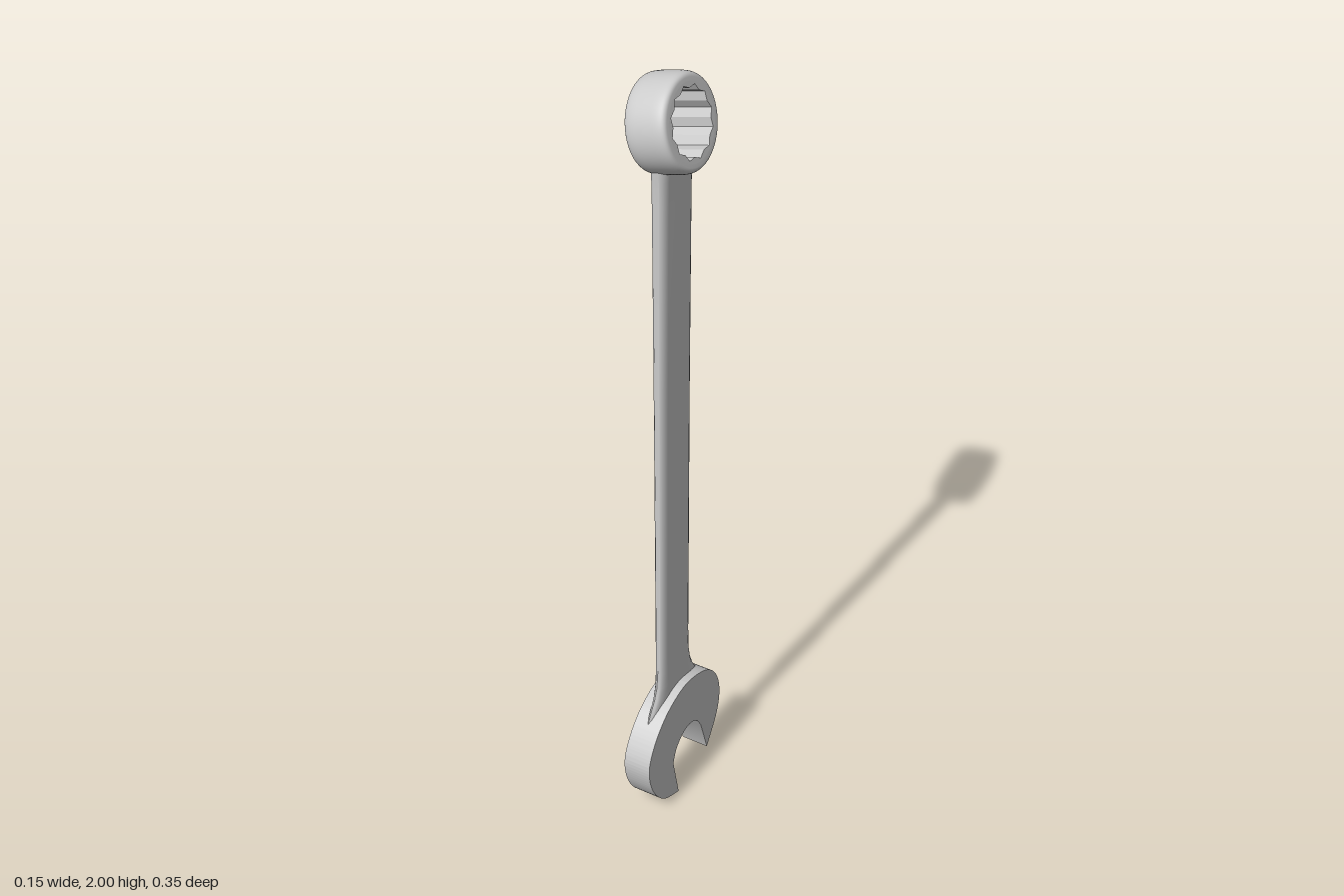
import * as THREE from 'three';
import { toCreasedNormals } from 'three/addons/utils/BufferGeometryUtils.js';

const material = new THREE.MeshStandardMaterial({ color: 0xcccccc });
const vectors = (list) => list.map(([x, y]) => new THREE.Vector2(x, y));

function part(name, geometry) {
  const mesh = new THREE.Mesh(geometry, material);
  mesh.name = name;
  return mesh;
}

// Extrudes a profile drawn in (-z, y) to a plate centred on x = 0
function plate(shape, thickness, curveSegments) {
  const g = new THREE.ExtrudeGeometry(shape, { depth: thickness, bevelEnabled: false, curveSegments });
  g.translate(0, 0, -thickness / 2);
  g.rotateY(Math.PI / 2);
  return toCreasedNormals(g, 0.45);
}

// Open-ended jaw: round outline with a slanted slot
function createJaw() {
  const s = new THREE.Shape();
  s.moveTo(-0.032, 0);
  s.splineThru(vectors([
    [-0.095, 0.026], [-0.138, 0.069], [-0.166, 0.125], [-0.174, 0.185], [-0.153, 0.238],
    [-0.111, 0.286], [-0.058, 0.317], [0.005, 0.331], [0.074, 0.317], [0.127, 0.286],
    [0.162, 0.236], [0.173, 0.178], [0.159, 0.116], [0.111, 0.04],
  ]));
  s.lineTo(0.079, 0.138);
  s.splineThru(vectors([[0.058, 0.169], [0.026, 0.185], [-0.01, 0.18], [-0.042, 0.153], [-0.058, 0.116]]));
  s.closePath();
  return part('openJaw', plate(s, 0.071, 56));
}

// Shank: flat faces with rounded edges, flaring into the jaw and cupped under the ring
function createShank() {
  // [y, half width, half thickness, z centre]
  const sections = [
    [0.2, 0.13, 0.014, 0], [0.27, 0.125, 0.014, 0], [0.3, 0.108, 0.014, 0], [0.33, 0.089, 0.014, 0],
    [0.36, 0.077, 0.014, 0.001], [0.4, 0.07, 0.014, 0.003], [0.46, 0.068, 0.014, 0.004],
    [1.2, 0.068, 0.016, 0.005], [1.7, 0.068, 0.019, 0.005], [1.77, 0.069, 0.02, 0.005], [null, 0.073, 0.021, 0.004],
  ];
  const flat = 0.044, steps = 8, positions = [], index = [];
  const count = 2 * (steps + 1);
  for (const [y, w, t, zc] of sections) {
    for (const side of [1, -1]) {
      for (let i = 0; i <= steps; i++) {
        const a = (i / steps) * Math.PI;
        const z = side * (flat + (w - flat) * Math.sin(a));
        const top = 1.885 - Math.sqrt(0.097 ** 2 - Math.min(z * z, 0.0056));
        positions.push(side * t * Math.cos(a), y ?? top, z + zc);
      }
    }
  }
  for (let r = 0; r < sections.length - 1; r++) {
    for (let i = 0; i < count; i++) {
      const a = r * count + i, b = r * count + ((i + 1) % count);
      index.push(a, a + count, b, b, a + count, b + count);
    }
  }
  const g = new THREE.BufferGeometry();
  g.setAttribute('position', new THREE.Float32BufferAttribute(positions, 3));
  g.setIndex(index);
  return part('shank', toCreasedNormals(g, 0.7));
}

// Ring end: rounded collar around a twelve-point socket, tilted from the shank
function createRing() {
  const ring = new THREE.Group();
  ring.name = 'ringEnd';
  const half = 0.052, faceRadius = 0.087;

  const profile = [];
  for (let i = 0; i <= 24; i++) {
    const a = -Math.PI / 2 + (i / 24) * Math.PI;
    const bulge = Math.sqrt(Math.abs(Math.cos(a)));
    const height = Math.sign(Math.sin(a)) * Math.sqrt(Math.abs(Math.sin(a)));
    profile.push(new THREE.Vector2(faceRadius + 0.023 * (i % 24 ? bulge : 0), half * height));
  }
  const collar = new THREE.LatheGeometry(profile, 64);
  collar.rotateZ(-Math.PI / 2);
  ring.add(part('ringCollar', collar));

  const core = new THREE.Shape();
  core.absarc(0, 0, faceRadius, 0, Math.PI * 2);
  const star = [];
  for (let i = 0; i < 24; i++) {
    const a = (i / 24) * Math.PI * 2, r = i % 2 ? 0.0725 : 0.081;
    star.push(new THREE.Vector2(r * Math.cos(a), r * Math.sin(a)));
  }
  core.holes.push(new THREE.Path(star));
  ring.add(part('twelvePointSocket', plate(core, half * 2, 32)));

  ring.position.set(-0.001, 1.883, 0.004);
  ring.rotation.z = THREE.MathUtils.degToRad(15);
  return ring;
}

export function createModel() {
  const model = new THREE.Group();
  model.name = 'combinationWrench';
  model.add(createJaw(), createShank(), createRing());
  return model;
}
